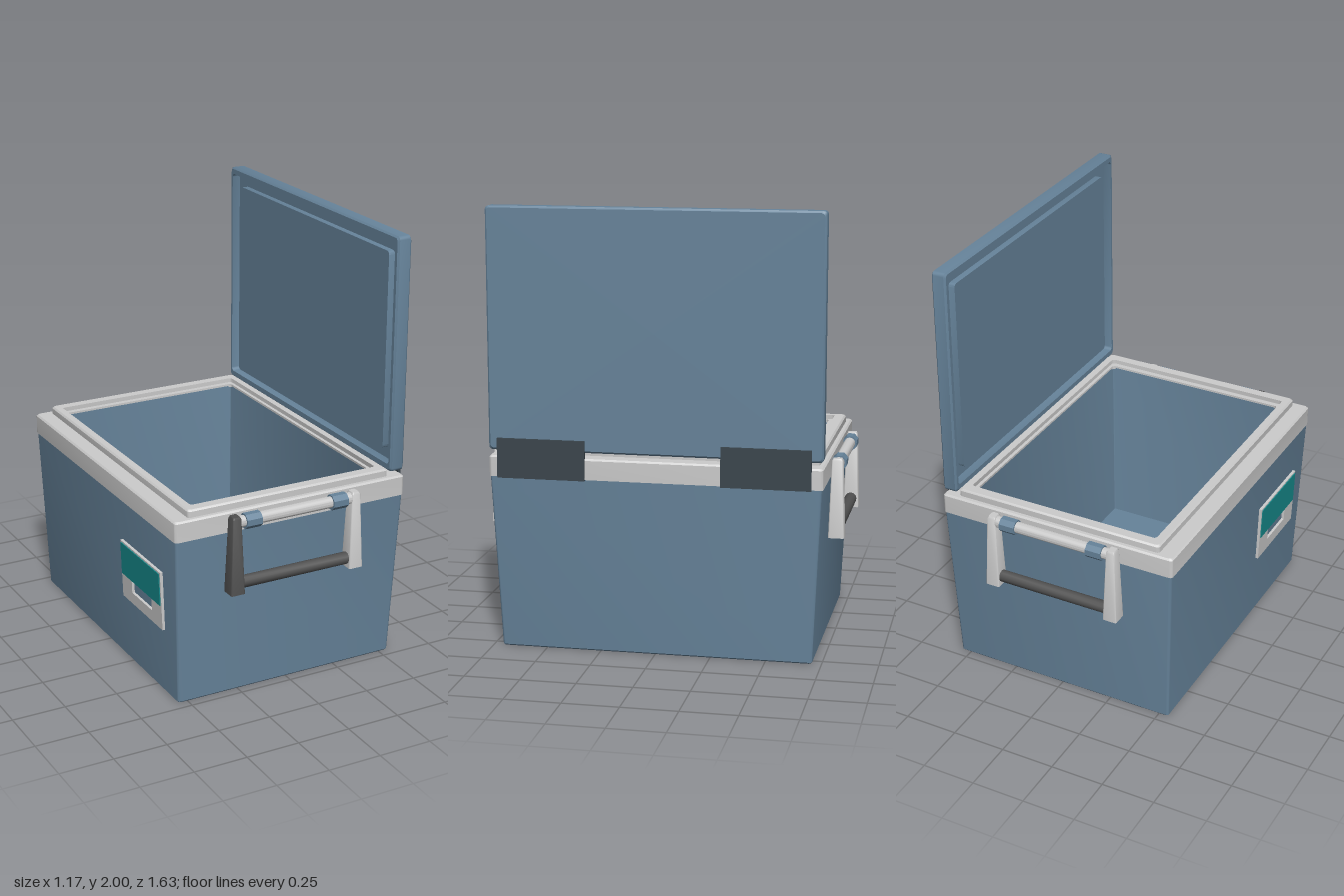
import * as THREE from 'three';
import { toCreasedNormals } from 'three/addons/utils/BufferGeometryUtils.js';

const mat = (color) => new THREE.MeshStandardMaterial({ color });
const BLUE = mat(0x66839a), GREY = mat(0xcccccc), DARK = mat(0x3a454c), CHARCOAL = mat(0x505050), TEAL = mat(0x168a8c);

// Rounded rectangle in the xz plane
function ring(hx, y, hz, radius) {
  const r = Math.min(radius, hx, hz), pts = [];
  for (let c = 0; c < 4; c++) {
    const sx = c === 0 || c === 3 ? 1 : -1, sz = c < 2 ? 1 : -1;
    for (let k = 0; k <= 3; k++) {
      const a = (c + k / 3) * Math.PI / 2;
      pts.push([sx * (hx - r) + Math.cos(a) * r, y, sz * (hz - r) + Math.sin(a) * r]);
    }
  }
  return pts;
}

// Skin through rings given as [halfX, y, halfZ]; a half size of 0 closes the end
function loft(profile, radius) {
  const rings = profile.map(([hx, y, hz]) => ring(hx, y, hz, radius)), pos = [];
  for (let j = 0; j + 1 < rings.length; j++) {
    const a = rings[j], b = rings[j + 1];
    for (let i = 0; i < a.length; i++) {
      const n = (i + 1) % a.length;
      if (profile[j + 1][0] > 0) pos.push(...a[i], ...b[i], ...b[n]);
      if (profile[j][0] > 0) pos.push(...a[i], ...b[n], ...a[n]);
    }
  }
  const g = new THREE.BufferGeometry();
  g.setAttribute('position', new THREE.Float32BufferAttribute(pos, 3));
  return toCreasedNormals(g, 0.6);
}

function add(parent, name, geometry, material, x = 0, y = 0, z = 0) {
  const m = new THREE.Mesh(geometry, material);
  m.name = name;
  m.position.set(x, y, z);
  parent.add(m);
  return m;
}

const rod = (r, length, sides) =>
  toCreasedNormals(new THREE.CylinderGeometry(r, r, length, sides).rotateZ(Math.PI / 2), 0.6);

// Carry handle hanging from a rod, built on the side facing sign * z
function makeHandle(sign) {
  const h = new THREE.Group();
  h.name = sign > 0 ? 'frontHandle' : 'backHandle';
  h.position.set(-0.007, 0, sign * 0.78);
  add(h, 'hingeRod', rod(0.026, 0.56, 16), GREY, 0, 0.85, 0);
  add(h, 'grip', rod(0.028, 0.56, 12), CHARCOAL, 0, 0.563, 0);
  for (const s of [-1, 1]) {
    add(h, 'rodSleeve', rod(0.036, 0.075, 8).rotateX(Math.PI / 8), BLUE, s * 0.217, 0.848, 0);
    const leg = loft([[0, 0.52, 0], [0.034, 0.52, 0.036], [0.021, 0.87, 0.025], [0.016, 0.88, 0.02], [0, 0.88, 0]], 0.006);
    add(h, 'handleLeg', leg, sign > 0 && s < 0 ? CHARCOAL : GREY, s * 0.299, 0, 0);
  }
  return h;
}

// Latch plate with a finger opening, lying on the sloped -x wall
function makeLatch() {
  const g = new THREE.Group();
  g.name = 'latch';
  g.position.set(-0.5615, 0.46, 0.405);
  g.rotation.z = 0.038;
  const shape = new THREE.Shape([[-0.2, -0.14], [0.2, -0.14], [0.2, 0.14], [-0.2, 0.14]].map((p) => new THREE.Vector2(...p)));
  shape.holes.push(new THREE.Path([[-0.1, -0.085], [-0.1, -0.025], [0.1, -0.025], [0.1, -0.085]].map((p) => new THREE.Vector2(...p))));
  const plate = new THREE.ExtrudeGeometry(shape, { depth: 0.014, bevelEnabled: false });
  add(g, 'latchFrame', plate.rotateY(-Math.PI / 2), GREY);
  add(g, 'latchFlap', new THREE.BoxGeometry(0.012, 0.155, 0.385), TEAL, -0.012, 0.055, 0);
  return g;
}

export function createModel() {
  const model = new THREE.Group();
  model.name = 'coolBox';

  // Tapered outer shell and inner tub
  add(model, 'body', loft([[0, 0, 0], [0.542, 0, 0.703], [0.547, 0.006, 0.708], [0.574, 0.8, 0.746]], 0.012), BLUE);
  add(model, 'innerTub', loft([[0.45, 0.895, 0.65], [0.424, 0.08, 0.609], [0, 0.08, 0]], 0.004), BLUE);

  // Stepped rim around the opening
  add(model, 'rim', loft([
    [0.57, 0.795, 0.742], [0.578, 0.795, 0.75], [0.578, 0.882, 0.75], [0.571, 0.89, 0.743],
    [0.504, 0.89, 0.727], [0.504, 0.917, 0.727], [0.497, 0.925, 0.72],
    [0.466, 0.925, 0.676], [0.466, 0.905, 0.676], [0.45, 0.905, 0.65], [0.45, 0.89, 0.65],
  ], 0.014), GREY);

  // Open lid, its seal groove and inner panel facing -x
  const lid = loft([
    [0, 0, 0], [0.534, 0, 0.742], [0.5425, 0.008, 0.75], [0.5425, 0.062, 0.75], [0.535, 0.07, 0.742],
    [0.511, 0.07, 0.731], [0.511, 0.03, 0.731], [0.458, 0.03, 0.665], [0.458, 0.06, 0.665], [0, 0.06, 0],
  ], 0.016).rotateZ(Math.PI / 2);
  add(model, 'lid', lid, BLUE, 0.572, 1.4575, 0);

  // Hinge plates
  for (const z of [-0.5, 0.51])
    add(model, 'hinge', new THREE.BoxGeometry(0.014, 0.18, 0.4), DARK, 0.576, 0.88, z);

  model.add(makeHandle(1), makeHandle(-1), makeLatch());
  return model;
}
